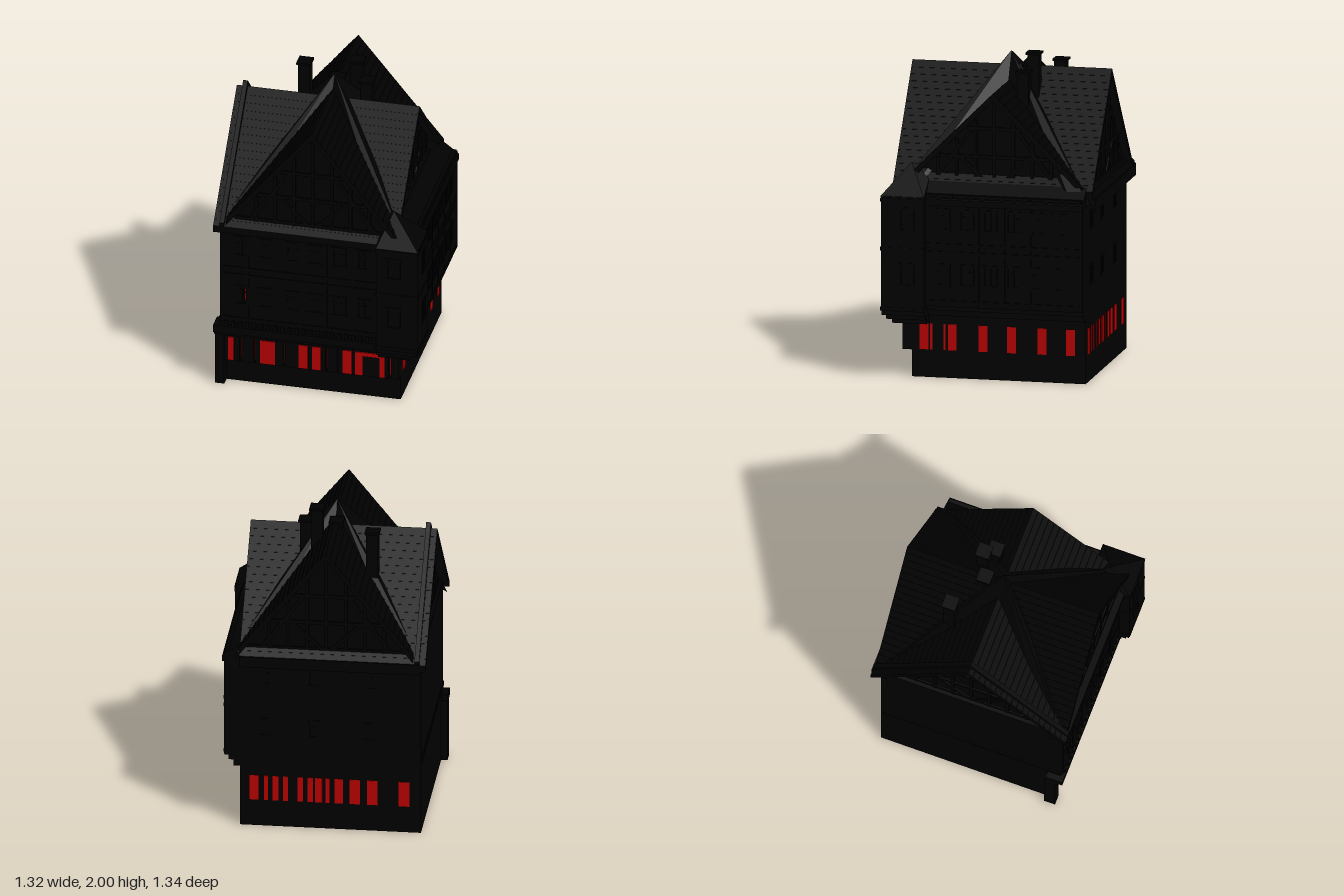
import * as THREE from 'three';
import { ConvexGeometry } from 'three/addons/geometries/ConvexGeometry.js';

const soot = new THREE.MeshStandardMaterial({ color: 0x000000 });
soot.name = 'soot black';
const red = new THREE.MeshStandardMaterial({ color: 0xb80000 });
red.name = 'glowing red';

function add(parent, name, geometry, material = soot) {
  const mesh = new THREE.Mesh(geometry, material);
  mesh.name = name;
  parent.add(mesh);
  return mesh;
}

// Box given by its minimum and maximum on each axis
function block(parent, name, x0, x1, y0, y1, z0, z1, material) {
  const m = add(parent, name, new THREE.BoxGeometry(x1 - x0, y1 - y0, z1 - z0), material);
  m.position.set((x0 + x1) / 2, (y0 + y1) / 2, (z0 + z1) / 2);
  return m;
}

// Flat bar between two points of a facade plane
function bar(parent, name, ax, ay, bx, by, z, w = 0.022, d = 0.014) {
  const m = add(parent, name, new THREE.BoxGeometry(Math.hypot(bx - ax, by - ay), w, d));
  m.position.set((ax + bx) / 2, (ay + by) / 2, z);
  m.rotation.z = Math.atan2(by - ay, bx - ax);
  return m;
}

const outline = points => points.map(([x, y]) => new THREE.Vector2(x, y));
const rectangle = ([x0, x1, y0, y1]) => outline([[x0, y0], [x1, y0], [x1, y1], [x0, y1]]);

// Outline in local x and y, with optional rectangular holes, extruded from z0 to z1
function prism(parent, name, points, z0, z1, holes = []) {
  const shape = new THREE.Shape(outline(points));
  shape.holes = holes.map(h => new THREE.Path(rectangle(h)));
  const m = add(parent, name, new THREE.ExtrudeGeometry(shape, { depth: z1 - z0, bevelEnabled: false }));
  m.position.z = z0;
  return m;
}

// Wall with narrow slots that show red panes at the back
function slottedWall(parent, name, x0, x1, y0, y1, z0, z1, slots) {
  prism(parent, name, [[x0, y0], [x1, y0], [x1, y1], [x0, y1]], z0, z1, slots);
  for (const [a, b, c, d] of slots) block(parent, 'recessedPane', a, b, c, d, z0 - 0.004, z0 + 0.003, red);
}

// Gabled roof whose ridge runs along local z, with infill walls, courses and timbering
function gableRoof(name, centre, half, apex, eave, z0, z1, inset0, inset1) {
  const g = new THREE.Group();
  g.name = name;
  g.position.x = centre;
  const slope = (apex - eave) / half, t = 0.045;
  prism(g, 'roofSlopes', [[-half, eave], [-half, eave - t], [0, apex - t], [half, eave - t], [half, eave], [0, apex]], z0, z1);
  const w = half - 0.04, foot = apex - slope * w - 0.03;
  prism(g, 'gableWall', [[-w, 1.13], [w, 1.13], [w, foot], [0, apex - 0.03], [-w, foot]], z0 + inset0, z1 - inset1);
  // Tile courses
  const angle = Math.atan(slope), rows = 18;
  for (const s of [-1, 1]) for (let i = 1; i < rows; i++) {
    const x = half * i / rows;
    const m = add(g, 'tileCourse', new THREE.BoxGeometry(0.012, 0.006, z1 - z0 - 0.01));
    m.position.set(s * x, apex - slope * x, (z0 + z1) / 2);
    m.rotation.z = -s * angle;
  }
  // Timber frame on both gable ends
  for (const z of [z0 + inset0 - 0.003, z1 - inset1 + 0.003]) {
    const widthAt = y => (apex - 0.06 - y) / slope;
    for (const y of [1.22, 1.4, 1.58]) bar(g, 'gableRail', -widthAt(y), y, widthAt(y), y, z);
    for (const x of [-0.36, -0.24, -0.12, 0, 0.12, 0.24, 0.36])
      bar(g, 'gablePost', x, 1.2, x, apex - 0.06 - slope * Math.abs(x), z, 0.02);
    for (const s of [-1, 1]) {
      bar(g, 'gableBrace', s * 0.4, 1.22, s * 0.14, 1.58, z);
      bar(g, 'gableBrace', s * 0.03, 1.22, s * 0.22, 1.4, z);
    }
  }
  return g;
}

// Window frame with cross bars, facing local +z
function windowFrame(parent, x, y, z, w = 0.08, h = 0.13) {
  const a = w / 2, b = h / 2;
  for (const s of [-1, 1]) {
    bar(parent, 'windowJamb', x + s * a, y - b, x + s * a, y + b, z, 0.012, 0.012);
    bar(parent, 'windowSill', x - a - 0.01, y + s * b, x + a + 0.01, y + s * b, z, 0.014, 0.014);
  }
  bar(parent, 'windowMullion', x, y - b, x, y + b, z, 0.007, 0.008);
  bar(parent, 'windowTransom', x - a, y + b * 0.35, x + a, y + b * 0.35, z, 0.007, 0.008);
}

function facade(parent, name, angle) {
  const g = new THREE.Group();
  g.name = name;
  g.rotation.y = angle;
  parent.add(g);
  return g;
}

export function createModel() {
  const house = new THREE.Group();
  house.name = 'timberHouse';
  const y0 = 0.175, y1 = 0.34;

  // Ground floor: hollow walls under a ceiling, the front recessed below the shop windows
  block(house, 'groundFrontWall', -0.62, 0.51, 0, 0.17, 0.47, 0.5);
  block(house, 'shopBackWall', -0.62, 0.505, 0.17, 0.42, 0.47, 0.515);
  slottedWall(house, 'shopWindowBand', -0.62, 0.505, 0.17, 0.42, 0.515, 0.557,
    [[-0.505, -0.492], [-0.415, -0.403], [-0.226, -0.214], [0.043, 0.056], [0.118, 0.126], [0.445, 0.462]].map(s => [...s, y0, y1]));
  block(house, 'groundBackWall', -0.62, 0.51, 0, 0.42, -0.605, -0.57);
  block(house, 'groundRightWall', -0.62, -0.585, 0, 0.42, -0.605, 0.5);
  block(house, 'groundLeftWall', 0.475, 0.51, 0, 0.42, -0.605, 0.5);
  block(house, 'groundLeftWallUpper', 0.475, 0.51, 0.17, 0.42, 0.5, 0.56);
  block(house, 'ceiling', -0.6, 0.5, 0.36, 0.42, -0.58, 0.53);

  // Shop front: corner column, fascia and brackets
  block(house, 'cornerColumn', -0.66, -0.6, 0, 0.4, 0.49, 0.562);
  block(house, 'shopFascia', -0.66, 0.4, 0.39, 0.44, 0.5, 0.61);
  block(house, 'shopFasciaLip', -0.66, 0.4, 0.36, 0.39, 0.5, 0.58);
  for (let i = 0; i < 22; i++) block(house, 'dentil', -0.59 + i * 0.045, -0.57 + i * 0.045, 0.44, 0.48, 0.57, 0.605);

  // Lit ground floor panes
  [[-0.575, -0.54], [-0.372, -0.277], [-0.125, -0.068], [-0.04, 0.015], [0.155, 0.212], [0.235, 0.28], [0.39, 0.42]]
    .forEach(([a, b]) => block(house, 'frontPane', a, b, y0, y1, 0.556, 0.5635, red));
  block(house, 'frontPane', 0.28, 0.39, 0.315, y1, 0.556, 0.5635, red);
  [[0.395, 0.452], [0.37, 0.385], [0.285, 0.297], [0.215, 0.27], [0.02, 0.077], [-0.162, -0.105], [-0.357, -0.3], [-0.537, -0.48]]
    .forEach(([a, b]) => block(house, 'sidePane', 0.507, 0.513, y0, y1, a, b, red));
  [[0.395, 0.45], [0.335, 0.36], [0.27, 0.305], [0.21, 0.24], [0.115, 0.15], [0.055, 0.088], [-0.004, 0.04], [-0.05, -0.025],
    [-0.135, -0.08], [-0.24, -0.175], [-0.35, -0.285], [-0.55, -0.48]]
    .forEach(([a, b]) => block(house, 'backPane', a, b, y0, y1, -0.608, -0.602, red));

  // Jettied upper floors with stepped corbels
  block(house, 'upperFloors', -0.62, 0.605, 0.47, 1.18, -0.605, 0.557);
  slottedWall(house, 'upperFrontWall', -0.62, 0.605, 0.47, 1.18, 0.557, 0.596,
    [[-0.468, -0.444, 0.62, 0.72], [-0.2, -0.178, 1.015, 1.05], [-0.203, -0.192, 0.62, 0.64], [-0.195, -0.185, 0.67, 0.69]]);
  block(house, 'corbelLow', -0.62, 0.55, 0.4, 0.44, -0.605, 0.56);
  block(house, 'corbelHigh', -0.62, 0.58, 0.44, 0.48, -0.605, 0.58);

  // Facades, each built facing local +z
  const front = facade(house, 'frontFacade', 0);
  const left = facade(house, 'leftFacade', Math.PI / 2);
  const back = facade(house, 'backFacade', Math.PI);
  const right = facade(house, 'rightFacade', -Math.PI / 2);
  for (const y of [0.67, 1.02]) {
    for (const x of [-0.48, -0.33, -0.155, -0.02, 0.14, 0.3]) windowFrame(front, x, y, 0.595);
    for (const x of [-0.28, -0.13, 0.02, 0.17, 0.32, 0.46]) windowFrame(left, x, y, 0.605);
    for (const x of [-0.35, -0.05, 0.3]) windowFrame(back, x, y, 0.603, 0.06, 0.11);
    windowFrame(front, 0.5, y, 0.662, 0.08, 0.14);
    windowFrame(left, -0.5, y, 0.655, 0.08, 0.14);
  }
  for (const [f, z, a, b] of [[front, 0.595, -0.61, 0.39], [left, 0.605, -0.39, 0.6]]) {
    for (const y of [0.5, 0.81, 0.86, 1.15]) bar(f, 'floorRail', a, y, b, y, z);
    for (let i = 0; i <= 6; i++) {
      const x = a + (b - a) * i / 6;
      bar(f, 'wallPost', x, 0.48, x, 1.17, z, 0.016, 0.01);
    }
  }
  bar(right, 'floorRail', -0.59, 0.48, 0.59, 0.48, 0.62, 0.03, 0.012);

  // Corner bay on stepped corbels
  [[0.59, 0.61, 0.35, 0.385], [0.62, 0.64, 0.38, 0.415], [0.65, 0.66, 0.41, 0.445]]
    .forEach(([x, z, a, b]) => block(house, 'bayCorbel', 0.39, x, a, b, 0.39, z));
  block(house, 'cornerBay', 0.39, 0.657, 0.44, 1.165, 0.39, 0.664);
  for (const y of [0.45, 0.83, 1.14]) block(house, 'bayBand', 0.388, 0.66, y - 0.012, y + 0.012, 0.388, 0.668);
  add(house, 'bayRoof', new ConvexGeometry([[0.39, 1.16, 0.39], [0.66, 1.16, 0.39], [0.39, 1.16, 0.67], [0.66, 1.16, 0.67],
    [0.47, 1.35, 0.51], [0.4, 1.3, 0.4]].map(p => new THREE.Vector3(...p))));

  // Crossing roofs
  house.add(gableRoof('frontToBackRoof', -0.03, 0.545, 1.893, 1.22, -0.65, 0.62, 0.05, 0.04));
  const cross = gableRoof('sideToSideRoof', 0, 0.645, 1.81, 1.165, -0.655, 0.51, 0.06, 0.05);
  cross.rotation.y = Math.PI / 2;
  cross.position.z = -0.015;
  house.add(cross);
  // Raised verge on the right-hand gable
  prism(cross, 'raisedVerge', [[-0.645, 1.19], [-0.645, 1.14], [0, 1.79], [0.645, 1.14], [0.645, 1.19], [0, 1.85]], -0.615, -0.585);
  block(house, 'backGutter', -0.62, 0.51, 1.1, 1.17, -0.666, -0.645);

  // Pent skirt along the left side
  prism(house, 'pentSkirt', [[0.62, 1.11], [0.62, 1.15], [0.46, 1.27], [0.46, 1.13]], -0.61, 0.42);

  // Raised ridges running from the corners to the central peak
  const peak = new THREE.Vector3(-0.03, 1.98, -0.01);
  for (const sx of [-1, 1]) for (const sz of [-1, 1]) {
    const corner = new THREE.Vector3(-0.03 + sx * 0.57, 1.2, -0.01 + sz * 0.59);
    const side = new THREE.Vector3(sx, 0, -sz).multiplyScalar(0.055);
    const points = [peak, corner];
    for (const [p, drop] of [[peak, 0.14], [corner, 0.07]]) for (const s of [-1, 1])
      points.push(p.clone().addScaledVector(side, s).setY(p.y - drop));
    add(house, 'cornerRidge', new ConvexGeometry(points));
  }

  // Chimneys with caps
  [[-0.28, -0.27, 1.893], [0.075, -0.18, 2], [-0.04, -0.13, 1.893], [0.15, -0.13, 1.893]].forEach(([x, z, top]) => {
    block(house, 'chimney', x - 0.037, x + 0.037, 1.45, top - 0.01, z - 0.037, z + 0.037);
    block(house, 'chimneyCap', x - 0.046, x + 0.046, top - 0.014, top, z - 0.046, z + 0.046);
  });
  return house;
}
